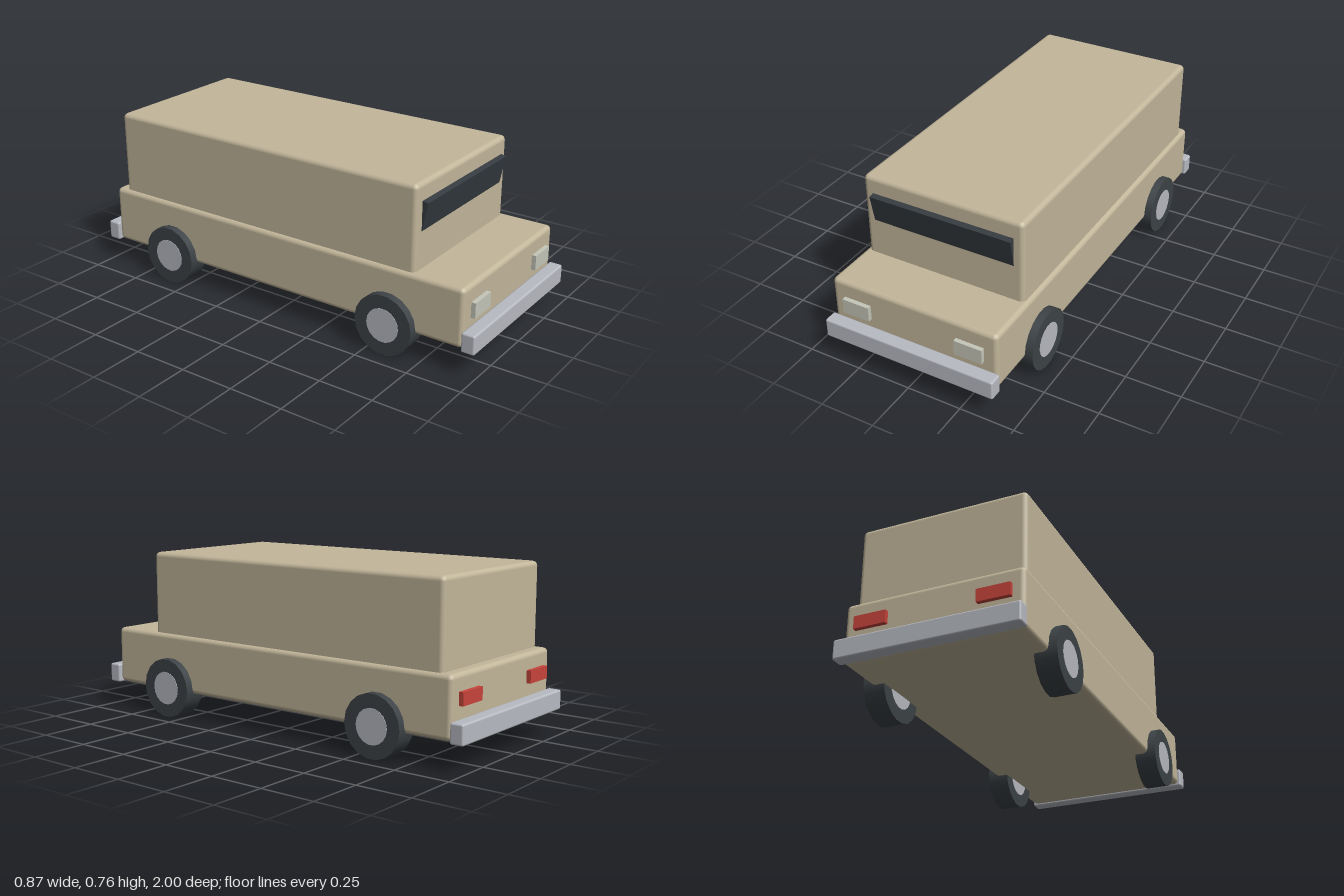
import * as THREE from 'three';
import { RoundedBoxGeometry } from 'three/addons/geometries/RoundedBoxGeometry.js';

const material = (name, color) => {
  const m = new THREE.MeshStandardMaterial({ color });
  m.name = name;
  return m;
};

export function createModel() {
  const car = new THREE.Group();
  car.name = 'boxyVan';

  const paint = material('tan paint', 0xc3b79b);
  const metal = material('light metal', 0xb8bbc2);
  const rubber = material('dark rubber', 0x3d4347);
  const glass = material('dark glass', 0x363c41);
  const lampGlass = material('headlight glass', 0xc6c7ba);
  const lampRed = material('tail light red', 0xc8453c);

  const add = (name, geometry, mat, x, y, z, parent = car) => {
    const mesh = new THREE.Mesh(geometry, mat);
    mesh.name = name;
    mesh.position.set(x, y, z);
    parent.add(mesh);
    return mesh;
  };

  // Body shells
  add('lowerBody', new RoundedBoxGeometry(0.79, 0.265, 1.88, 2, 0.022), paint, 0, 0.2525, 0);
  add('cabin', new RoundedBoxGeometry(0.755, 0.42, 1.59, 2, 0.022), paint, 0, 0.55, -0.093);

  // Windscreen slab, leaning forward at the top
  const screen = add('windscreen', new THREE.BoxGeometry(0.666, 0.14, 0.03), glass, 0, 0.612, 0.699);
  screen.rotation.x = 0.2;

  // Bumpers at both ends
  const bumper = new RoundedBoxGeometry(0.81, 0.088, 0.062, 2, 0.009);
  add('frontBumper', bumper, metal, 0, 0.159, 0.969);
  add('rearBumper', bumper, metal, 0, 0.159, -0.969);

  // Lights, mirrored left and right
  const headlight = new THREE.BoxGeometry(0.128, 0.068, 0.04);
  const tailLight = new THREE.BoxGeometry(0.145, 0.056, 0.04);
  for (const side of [-1, 1]) {
    add('headlight', headlight, lampGlass, side * 0.27, 0.274, 0.94);
    add('tailLight', tailLight, lampRed, side * 0.27, 0.285, -0.94);
  }

  // Wheels: tyre with a hub standing just proud of both faces
  const tyre = new THREE.CylinderGeometry(0.137, 0.137, 0.098, 18).rotateZ(Math.PI / 2);
  const hub = new THREE.CylinderGeometry(0.077, 0.077, 0.102, 18).rotateZ(Math.PI / 2);
  for (const side of [-1, 1]) {
    for (const z of [0.588, -0.588]) {
      const wheel = new THREE.Group();
      wheel.name = `${z > 0 ? 'front' : 'rear'}${side > 0 ? 'Left' : 'Right'}Wheel`;
      wheel.position.set(side * 0.382, 0.137, z);
      add('tyre', tyre, rubber, 0, 0, 0, wheel);
      add('hub', hub, metal, 0, 0, 0, wheel);
      car.add(wheel);
    }
  }
  return car;
}
